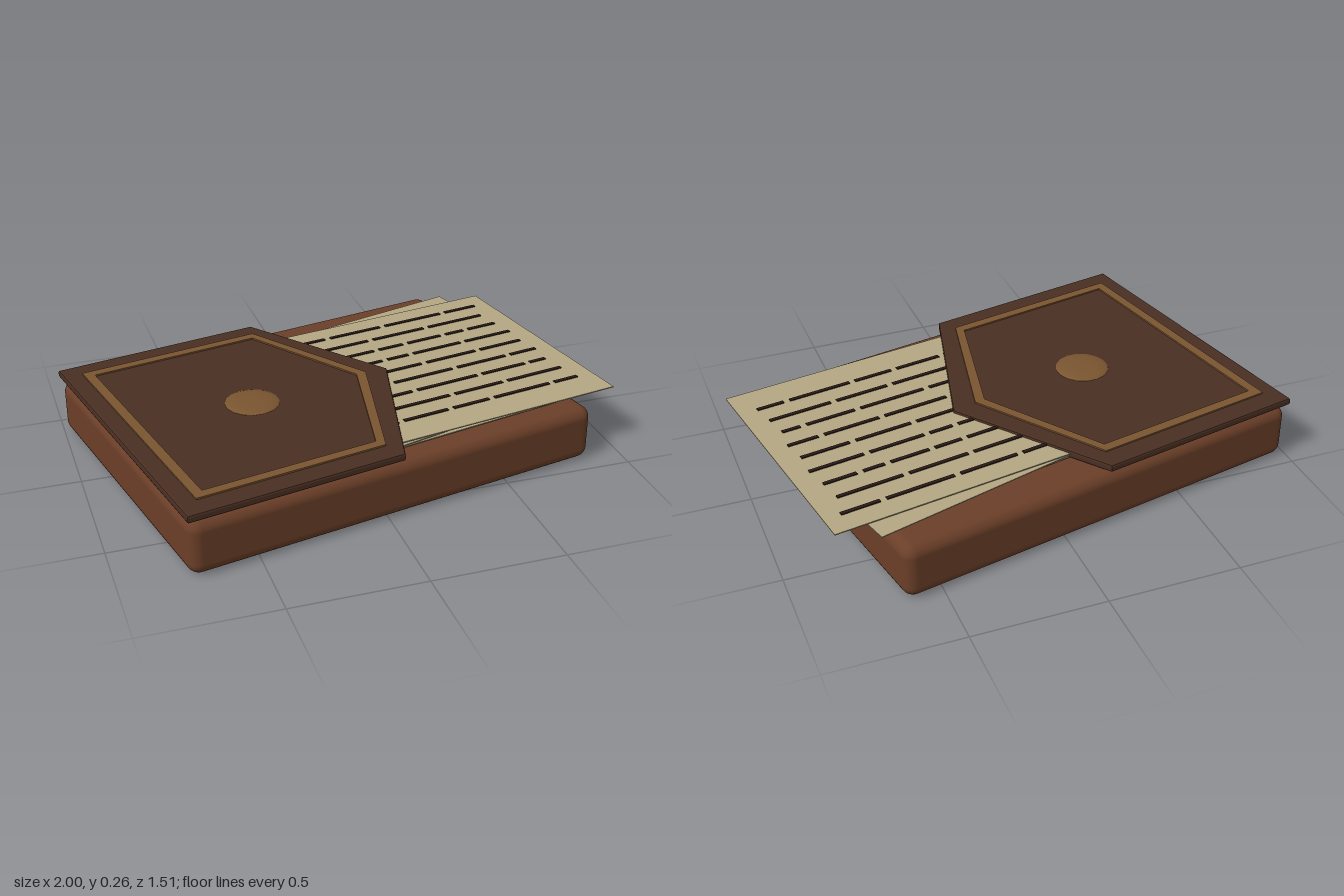
import * as THREE from 'three';
import { RoundedBoxGeometry } from 'three/addons/geometries/RoundedBoxGeometry.js';

const mat = (color) => new THREE.MeshStandardMaterial({ color });
const leather = mat(0x6b3f28), darkLeather = mat(0x4a2f22), trimMat = mat(0x7a5530);
const paper = mat(0xb5a784), ink = mat(0x2a1b16);

function add(parent, name, geometry, material, x = 0, y = 0, z = 0) {
  const mesh = new THREE.Mesh(geometry, material);
  mesh.name = name;
  mesh.position.set(x, y, z);
  parent.add(mesh);
  return mesh;
}

// Five-sided outline with its point towards +x
function flapOutline(PathType, back, shoulder, tip, half) {
  return new PathType([[back, -half], [shoulder, -half], [tip, 0], [shoulder, half], [back, half]]
    .map(([x, y]) => new THREE.Vector2(x, y)));
}

// Extrusion laid flat, growing upwards from y = 0
function slab(shape, height, bevel = 0) {
  const g = new THREE.ExtrudeGeometry(shape, {
    depth: height - 2 * bevel, bevelEnabled: bevel > 0, bevelThickness: bevel,
    bevelSize: bevel, bevelOffset: -bevel, bevelSegments: 2,
  });
  return g.translate(0, 0, bevel).rotateX(-Math.PI / 2);
}

// Small seeded generator for the word lengths
function seeded(seed) {
  return () => (seed = (seed * 16807) % 2147483647) / 2147483647;
}

const SHEET_L = 1.1, SHEET_W = 0.974;

// A sheet hung from its back right corner, so local x <= 0 and z >= 0
function makeSheet(name, x, y, z, angle) {
  const sheet = new THREE.Group();
  sheet.name = name;
  sheet.position.set(x, y, z);
  sheet.rotation.y = angle;
  add(sheet, 'paper', new THREE.BoxGeometry(SHEET_L, 0.004, SHEET_W), paper, -SHEET_L / 2, 0, SHEET_W / 2);
  return sheet;
}

// Rows of dashes standing for handwriting
function writeRows(sheet) {
  const random = seeded(41);
  for (let row = 0; row < 9; row++) {
    let end = -0.065 - 0.03 * random();
    while (end > -SHEET_L + 0.15) {
      const length = 0.07 + 0.2 * random();
      const start = Math.max(end - length, -SHEET_L + 0.06);
      add(sheet, 'inkDash', new THREE.BoxGeometry(end - start, 0.004, 0.015), ink,
        (start + end) / 2, 0.004, 0.092 + row * 0.0935);
      end = start - 0.025;
    }
  }
}

export function createModel() {
  const model = new THREE.Group();
  model.name = 'letterCase';

  // Leather case, turned a little on the table
  const wallet = new THREE.Group();
  wallet.name = 'case';
  wallet.rotation.y = 0.2;
  model.add(wallet);
  add(wallet, 'caseBody', new RoundedBoxGeometry(1.66, 0.214, 1.215, 4, 0.045), leather, -0.055, 0.107, -0.02);

  // Pointed flap with an inlaid border and a button
  add(wallet, 'flap', slab(flapOutline(THREE.Shape, -0.891, -0.058, 0.232, 0.608), 0.03, 0.008),
    darkLeather, 0, 0.222, -0.02);
  const border = flapOutline(THREE.Shape, -0.823, -0.09, 0.137, 0.527);
  border.holes.push(flapOutline(THREE.Path, -0.785, -0.109, 0.096, 0.489));
  add(wallet, 'flapBorder', slab(border, 0.008), trimMat, 0, 0.25, -0.02);
  const button = add(wallet, 'button',
    new THREE.SphereGeometry(0.105, 16, 8, 0, Math.PI * 2, 0, Math.PI / 2), trimMat, -0.353, 0.25, -0.02);
  button.scale.y = 0.14;

  // Fanned sheets sliding out from under the flap
  model.add(makeSheet('bottomSheet', 0.70, 0.224, -0.632, 0.213));
  model.add(makeSheet('middleSheet', 0.69, 0.232, -0.683, 0.277));
  const top = makeSheet('topSheet', 0.835, 0.24, -0.625, 0.17);
  writeRows(top);
  model.add(top);

  return model;
}
